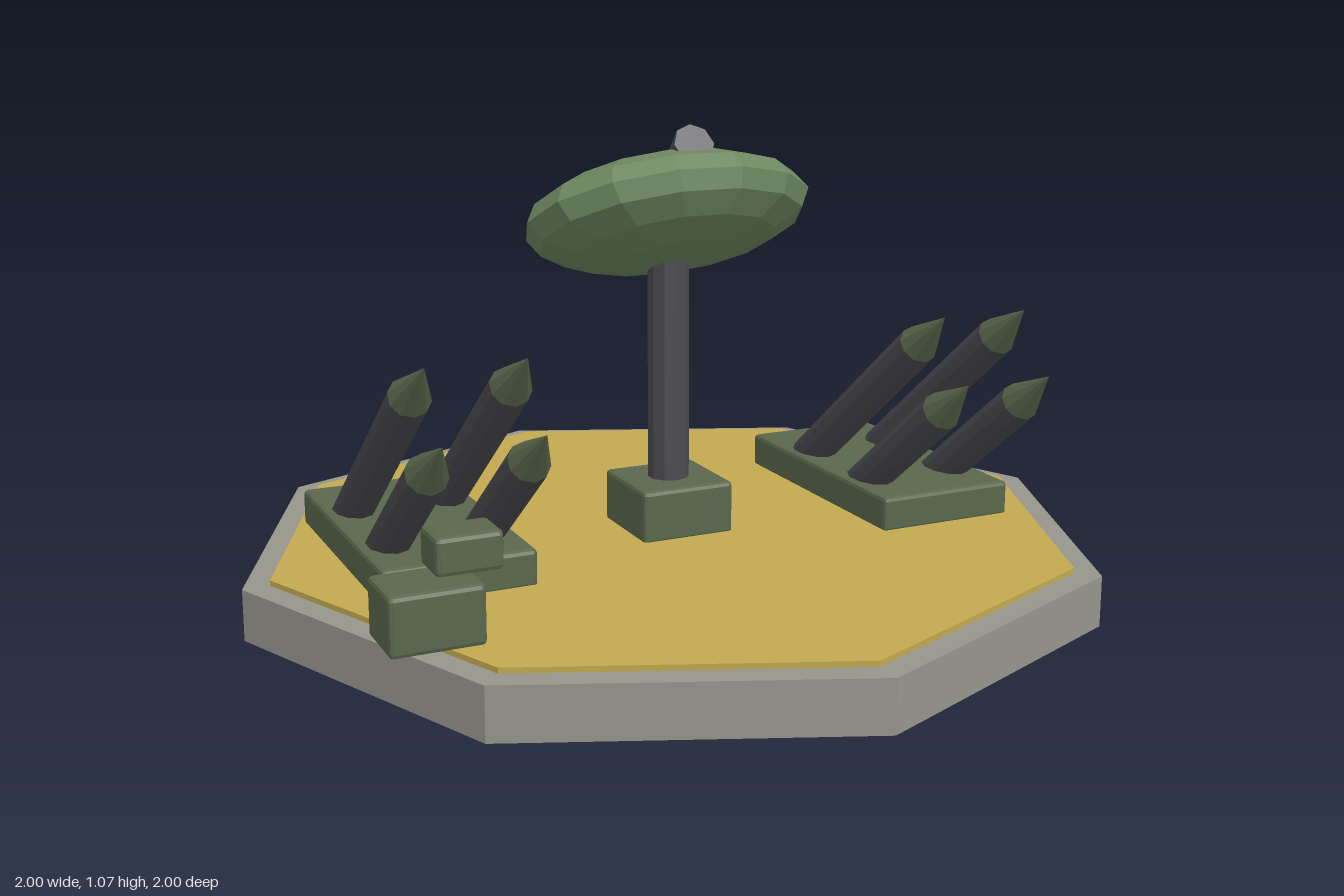
import * as THREE from 'three';
import { RoundedBoxGeometry } from 'three/addons/geometries/RoundedBoxGeometry.js';

const mat = (name, color) => {
  const m = new THREE.MeshStandardMaterial({ color });
  m.name = name;
  return m;
};

export function createModel() {
  const concrete = mat('concrete', 0x96958c);
  const sand = mat('sand', 0xc2a850);
  const olive = mat('olive', 0x5a674c);
  const dishGreen = mat('dishGreen', 0x6d8760);
  const steel = mat('steel', 0x4b4a4f);

  const model = new THREE.Group();
  model.name = 'missileSite';

  // Faceted mesh with hard edges
  const add = (parent, name, geometry, material, x = 0, y = 0, z = 0) => {
    const flat = geometry.index ? geometry.toNonIndexed() : geometry;
    flat.computeVertexNormals();
    const mesh = new THREE.Mesh(flat, material);
    mesh.name = name;
    mesh.position.set(x, y, z);
    parent.add(mesh);
    return mesh;
  };
  // Box with chamfered edges, placed by its underside
  const box = (parent, name, w, h, d, x, y, z) =>
    add(parent, name, new RoundedBoxGeometry(w, h, d, 1, 0.01), olive, x, y + h / 2, z);

  // Octagonal platform with a sand surface
  add(model, 'platform', new THREE.CylinderGeometry(1, 1, 0.115, 8), concrete, 0, 0.0575, 0);
  add(model, 'sandSurface', new THREE.CylinderGeometry(0.94, 0.94, 0.012, 8), sand, 0, 0.121, 0);

  // Radar: pedestal, mast, tilted dish and feed horn
  const radar = new THREE.Group();
  radar.name = 'radar';
  model.add(radar);
  box(radar, 'pedestal', 0.225, 0.125, 0.225, 0, 0.12, 0);
  add(radar, 'mast', new THREE.CylinderGeometry(0.048, 0.048, 0.62, 10), steel, 0, 0.54, 0);

  const head = new THREE.Group();
  head.name = 'radarHead';
  head.position.set(0, 0.86, 0);
  head.rotation.x = -Math.PI / 6;
  radar.add(head);
  const dish = new THREE.SphereGeometry(1, 14, 8);
  dish.scale(0.342, 0.112, 0.258);
  add(head, 'dish', dish, dishGreen);
  const horn = new THREE.CylinderGeometry(0.048, 0.02, 0.15, 8);
  horn.rotateX(Math.PI / 2);
  add(head, 'feedHorn', horn, steel, 0, 0.08, 0.125);

  // Missile pointing along its own y axis, origin at the tail
  const bodyLength = 0.625, noseLength = 0.13, radius = 0.046;
  const missile = (parent, x, y, z) => {
    const m = new THREE.Group();
    m.name = 'missile';
    add(m, 'missileBody', new THREE.CylinderGeometry(radius, radius, bodyLength, 10), steel, 0, bodyLength / 2, 0);
    add(m, 'missileNose', new THREE.ConeGeometry(radius, noseLength, 10), olive, 0, bodyLength + noseLength / 2, 0);
    m.position.set(x, y, z);
    m.rotation.x = THREE.MathUtils.degToRad(52);
    parent.add(m);
  };

  // Two launchers, each with two upper and two lower missiles
  for (const side of [-1, 1]) {
    const launcher = new THREE.Group();
    launcher.name = side > 0 ? 'leftLauncher' : 'rightLauncher';
    model.add(launcher);
    box(launcher, 'launchPad', 0.342, 0.085, 0.65, side * 0.6, 0.12, -0.058);
    for (const x of [0.492, 0.706]) {
      missile(launcher, side * x, 0.184, -0.203);
      missile(launcher, side * x, 0.05, -0.103);
    }
  }

  // Stacked supply crates
  box(model, 'largeCrate', 0.195, 0.125, 0.15, -0.743, 0.13, 0.485);
  box(model, 'smallCrate', 0.14, 0.08, 0.105, -0.66, 0.26, 0.457);

  return model;
}
